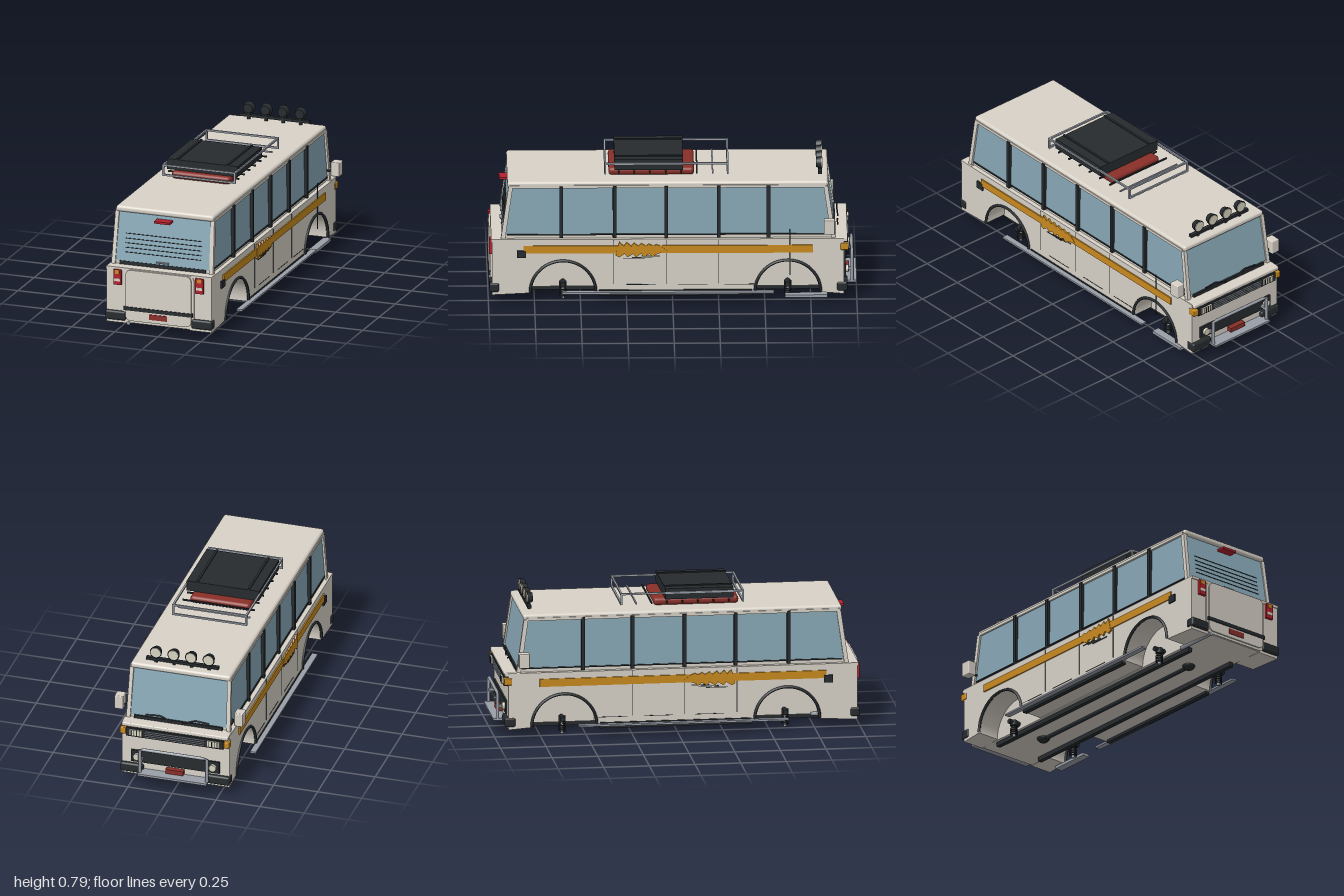
import * as THREE from 'three';
import { RoundedBoxGeometry } from 'three/addons/geometries/RoundedBoxGeometry.js';

const mat = (color) => new THREE.MeshStandardMaterial({ color, side: THREE.DoubleSide });

export function createModel() {
  const root = new THREE.Group();
  const cream = mat(0xd8d2c8), dark = mat(0x262b2e), glass = mat(0x88a8b6), grey = mat(0x9a9fa8),
    amber = mat(0xc98a1e), red = mat(0xb3202d), maroon = mat(0x8a2f28), white = mat(0xd8d4c0);

  const add = (name, geo, m, x = 0, y = 0, z = 0) => {
    const mesh = new THREE.Mesh(geo, m);
    mesh.name = name;
    mesh.position.set(x, y, z);
    root.add(mesh);
    return mesh;
  };
  // box given by its limits on each axis
  const box = (name, m, x0, x1, y0, y1, z0, z1) =>
    add(name, new THREE.BoxGeometry(Math.abs(x1 - x0), y1 - y0, z1 - z0), m, (x0 + x1) / 2, (y0 + y1) / 2, (z0 + z1) / 2);
  // rounded box given by its limits
  const rbox = (name, m, r, x0, x1, y0, y1, z0, z1) =>
    add(name, new RoundedBoxGeometry(x1 - x0, y1 - y0, z1 - z0, 3, r), m, (x0 + x1) / 2, (y0 + y1) / 2, (z0 + z1) / 2);
  // reshape the upper vertices of a geometry
  const reshapeTop = (geo, fn) => {
    const p = geo.attributes.position;
    for (let i = 0; i < p.count; i++) if (p.getY(i) > 0) fn(p, i);
    geo.computeVertexNormals();
    return geo;
  };
  const rod = (name, m, pts, r) => {
    const path = new THREE.CurvePath(), v = pts.map((p) => new THREE.Vector3(...p));
    for (let i = 1; i < v.length; i++) path.add(new THREE.LineCurve3(v[i - 1], v[i]));
    return add(name, new THREE.TubeGeometry(path, (v.length - 1) * 8, r, 8), m);
  };
  // extrude a (z, y) outline sideways, outer face at x = s * xo
  const sidePlate = (name, shape, m, s, xo, depth) => {
    const geo = new THREE.ExtrudeGeometry(shape, { depth, bevelEnabled: false, curveSegments: 28 });
    return add(name, geo.rotateY(-Math.PI / 2), m, s > 0 ? xo : depth - xo);
  };
  // rounded rectangle panel facing +z
  const panel = (name, m, w, h, r, depth, y, z) => {
    const a = w / 2, b = h / 2, s = new THREE.Shape();
    s.absarc(a - r, b - r, r, 0, Math.PI / 2);
    s.absarc(r - a, b - r, r, Math.PI / 2, Math.PI);
    s.absarc(r - a, r - b, r, Math.PI, Math.PI * 1.5);
    s.absarc(a - r, r - b, r, Math.PI * 1.5, Math.PI * 2);
    return add(name, new THREE.ExtrudeGeometry(s, { depth, bevelEnabled: false }), m, 0, y, z);
  };

  const wheelZ = [0.595, -0.625];

  // lower body: centre hull and side walls with wheel arches
  box('hull', cream, -0.175, 0.175, 0.055, 0.365, -0.93, 0.98);
  const wall = new THREE.Shape().moveTo(-0.93, 0.05);
  for (const c of [wheelZ[1], wheelZ[0]]) {
    wall.lineTo(c - 0.18, 0.06);
    wall.absarc(c, 0.06, 0.18, Math.PI, 0, true);
  }
  wall.lineTo(0.98, 0.05).lineTo(0.98, 0.365).lineTo(-0.93, 0.365);
  rbox('hood', cream, 0.006, -0.302, 0.302, 0.345, 0.368, -0.95, -0.86);
  box('rearDeck', cream, -0.305, 0.305, 0.35, 0.366, 0.9, 0.985);
  box('waistBand', cream, -0.28, 0.28, 0.36, 0.39, -0.87, 0.92);
  box('rearWaistTrim', dark, -0.25, 0.25, 0.366, 0.386, 0.9, 0.927);
  box('frontWaistTrim', dark, -0.25, 0.25, 0.367, 0.386, -0.885, -0.86);

  // glass cabin, narrowing towards the roof
  add('windows', reshapeTop(new THREE.BoxGeometry(0.566, 0.275, 1.8), (p, i) => {
    p.setZ(i, Math.sign(p.getZ(i)) * 0.858);
    p.setX(i, p.getX(i) * 0.98);
  }), glass, 0, 0.522, 0.025);
  rbox('roof', cream, 0.014, -0.284, 0.284, 0.652, 0.686, -0.845, 0.897);
  for (const s of [1, -1]) box('gutter', cream, s * 0.275, s * 0.289, 0.652, 0.668, -0.83, 0.885);
  const rearZ = (y) => 0.927 - 0.042 * (y - 0.385) / 0.275;

  for (const s of [1, -1]) {
    sidePlate('sideWall', wall, cream, s, 0.305, 0.13);
    // corner pillars leaning with the glass
    for (const [z, dz] of [[0.921, -0.042], [-0.873, 0.042]])
      add('cornerPillar', reshapeTop(new THREE.BoxGeometry(0.022, 0.295, 0.024), (p, i) => {
        p.setZ(i, p.getZ(i) + dz);
        p.setX(i, p.getX(i) - s * 0.008);
      }), cream, s * 0.284, 0.512, z);
    for (const z of [0.605, 0.315, 0.035, -0.25, -0.52])
      box('windowPost', dark, s * 0.279, s * 0.297, 0.37, 0.664, z - 0.01, z + 0.01);
    box('sill', dark, s * 0.279, s * 0.288, 0.383, 0.39, -0.85, 0.9);
    // door seams
    for (const z of [0.32, 0.035, -0.25])
      box('doorSeam', dark, s * 0.3, s * 0.3065, 0.11, 0.36, z - 0.0015, z + 0.0015);
    for (const z of [0.18, -0.1, -0.35])
      box('lowerSeam', dark, s * 0.3, s * 0.3065, 0.105, 0.108, z - 0.09, z + 0.07);
    // coloured stripe with jagged flash
    box('stripe', amber, s * 0.3, s * 0.312, 0.287, 0.33, -0.76, 0.81);
    const flash = new THREE.Shape().moveTo(0.31, 0.275);
    for (let i = 0; i < 6; i++) {
      const z = 0.29 - i * 0.04;
      flash.lineTo(z, 0.352 - i * 0.003).lineTo(z - 0.025, 0.328);
    }
    flash.lineTo(0.03, 0.3);
    for (let i = 0; i < 5; i++) flash.lineTo(0.08 + i * 0.045, 0.285).lineTo(0.11 + i * 0.045, 0.268 - i * 0.001);
    sidePlate('stripeFlash', flash, amber, s, 0.3145, 0.01);
    for (let i = 0; i < 3; i++)
      box('stripeShadow', dark, s * 0.3, s * 0.308, 0.252 + i * 0.008, 0.256 + i * 0.008, 0.15 - i * 0.04, 0.27 - i * 0.05);
    box('fuelFlap', dark, s * 0.3, s * 0.314, 0.262, 0.303, 0.795, 0.845);
    // arch trims, springs and hubs
    for (const z of wheelZ) {
      const arch = add('archTrim', new THREE.TorusGeometry(0.178, 0.008, 6, 32, Math.PI), dark, s * 0.307, 0.065, z);
      arch.rotation.y = Math.PI / 2;
      const coil = [];
      for (let i = 0; i <= 60; i++) {
        const a = i / 60 * Math.PI * 9;
        coil.push(new THREE.Vector3(s * 0.21 + Math.cos(a) * 0.018, 0.01 + i * 0.0008, z + Math.sin(a) * 0.018));
      }
      add('spring', new THREE.TubeGeometry(new THREE.CatmullRomCurve3(coil), 120, 0.0035, 5), dark);
      add('damper', new THREE.CylinderGeometry(0.009, 0.009, 0.08, 10), grey, s * 0.21, 0.04, z);
      add('springMount', new THREE.CylinderGeometry(0.02, 0.02, 0.03, 14), dark, s * 0.21, 0.08, z);
      add('axle', new THREE.CylinderGeometry(0.014, 0.014, 0.09, 12), dark, s * 0.2, 0.085, z).rotation.z = Math.PI / 2;
    }
    // side steps and chassis rails
    box('sideStep', grey, s * 0.305, s * 0.338, 0.062, 0.072, -0.55, 0.6);
    box('stepBeam', dark, s * 0.285, s * 0.31, 0.045, 0.078, -0.43, 0.4);
    box('chassisRail', dark, s * 0.135, s * 0.159, 0.03, 0.056, -0.83, 0.78);
    // mirrors
    rbox('mirror', cream, 0.005, s * 0.34 - 0.025, s * 0.34 + 0.025, 0.405, 0.485, -0.88, -0.82);
    box('mirrorArm', dark, s * 0.28, s * 0.32, 0.42, 0.43, -0.855, -0.845);
    // bumper corners
    rbox('rearBumperCorner', dark, 0.012, s * 0.25 - 0.06, s * 0.25 + 0.06, 0.065, 0.118, 0.94, 0.995);
    rbox('frontBumperCorner', dark, 0.012, s * 0.245 - 0.065, s * 0.245 + 0.065, 0.065, 0.118, -0.95, -0.89);
    // tail lights
    box('tailLight', red, s * 0.215, s * 0.26, 0.268, 0.354, 0.97, 0.995);
    box('tailIndicator', amber, s * 0.225, s * 0.248, 0.33, 0.352, 0.97, 0.997);
    box('reverseLight', white, s * 0.22, s * 0.255, 0.288, 0.304, 0.97, 0.997);
    // headlights, indicators and fog lamps
    box('headlight', white, s * 0.185, s * 0.255, 0.298, 0.334, -0.96, -0.93);
    for (let i = 0; i < 4; i++)
      box('headlightBar', dark, s * (0.195 + i * 0.016), s * (0.198 + i * 0.016), 0.298, 0.334, -0.963, -0.95);
    rbox('frontIndicator', amber, 0.005, s * 0.294 - 0.016, s * 0.294 + 0.016, 0.3, 0.338, -0.955, -0.91);
    add('fogLamp', new THREE.CylinderGeometry(0.02, 0.02, 0.02, 20), white, s * 0.215, 0.165, -0.945).rotation.x = Math.PI / 2;
    rod('wiper', dark, [[s * 0.03, 0.385, -0.9], [s * 0.1, 0.41, -0.895], [s * 0.18, 0.405, -0.897]], 0.004);
  }

  // tailgate
  panel('tailgate', cream, 0.41, 0.305, 0.035, 0.012, 0.21, 0.975);
  panel('tailgatePanel', cream, 0.38, 0.288, 0.03, 0.01, 0.215, 0.985);
  box('tailgateStrip', dark, -0.2, 0.2, 0.13, 0.15, 0.97, 1.0);
  box('rearPlate', maroon, -0.052, 0.052, 0.09, 0.12, 0.98, 0.999);
  box('rearHandle', grey, -0.035, 0.035, 0.394, 0.4, 0.92, 0.935);
  box('brakeLight', red, -0.045, 0.045, 0.622, 0.634, 0.885, 0.94);
  for (const y of [0.435, 0.46, 0.485, 0.51, 0.537])
    box('heaterLine', dark, -0.22, 0.22, y - 0.0015, y + 0.0015, rearZ(y) - 0.01, rearZ(y) + 0.002);

  // nose: grille, lower intake, plate and guard bar
  box('grille', dark, -0.275, 0.275, 0.29, 0.342, -0.952, -0.92);
  for (let i = 0; i < 4; i++) box('grilleSlat', grey, -0.17, 0.17, 0.297 + i * 0.011, 0.3 + i * 0.011, -0.957, -0.94);
  box('lowerIntake', dark, -0.25, 0.25, 0.13, 0.2, -0.94, -0.92);
  box('frontPlate', maroon, -0.05, 0.05, 0.095, 0.12, -0.96, -0.92);
  rod('guardBar', grey, [[-0.19, 0.09, -0.975], [-0.19, 0.23, -0.975], [0.19, 0.23, -0.975], [0.19, 0.09, -0.975]], 0.009);
  box('guardPlate', grey, -0.195, 0.195, 0.078, 0.09, -1.0, -0.92);
  for (const s of [1, -1]) box('guardBracket', grey, s * 0.18, s * 0.196, 0.15, 0.165, -0.975, -0.92);

  // roof rack with luggage
  rbox('rolledMat', maroon, 0.018, -0.17, 0.17, 0.686, 0.728, -0.118, 0.347);
  box('cargoBox', dark, -0.205, 0.205, 0.728, 0.787, -0.058, 0.315);
  for (const s of [1, -1]) {
    box('cargoRib', dark, s * 0.14, s * 0.152, 0.785, 0.793, -0.058, 0.315);
    box('rackRail', grey, s * 0.202, s * 0.212, 0.76, 0.77, -0.305, 0.37);
  }
  for (const z of [0.365, -0.3]) {
    for (const y of [0.71, 0.765]) box('rackEndBar', grey, -0.212, 0.212, y - 0.005, y + 0.005, z - 0.005, z + 0.005);
    for (const s of [1, -1]) box('rackUpright', grey, s * 0.202, s * 0.212, 0.705, 0.77, z - 0.005, z + 0.005);
  }
  for (let i = 0; i < 7; i++) box('rackSlat', i ? dark : grey, -0.205, 0.205, 0.706, 0.714, -0.222 + i * 0.085, -0.214 + i * 0.085);

  // roof lamps
  box('lampBar', dark, -0.205, 0.205, 0.7, 0.715, -0.812, -0.79);
  for (const x of [-0.15, -0.05, 0.05, 0.15]) {
    add('roofLamp', new THREE.CylinderGeometry(0.034, 0.026, 0.03, 24), dark, x, 0.75, -0.795).rotation.x = -Math.PI / 2;
    add('roofLampLens', new THREE.CylinderGeometry(0.028, 0.028, 0.006, 24), white, x, 0.75, -0.811).rotation.x = Math.PI / 2;
    box('lampFoot', dark, x - 0.008, x + 0.008, 0.68, 0.72, -0.804, -0.794);
  }

  // underside: drive shaft, differentials and exhaust
  add('driveShaft', new THREE.CylinderGeometry(0.011, 0.011, 1.22, 12), dark, 0, 0.048, -0.015).rotation.x = Math.PI / 2;
  for (const z of wheelZ) add('differential', new THREE.SphereGeometry(0.035, 20, 12), dark, 0, 0.056, z).scale.y = 0.8;
  add('exhaust', new THREE.CylinderGeometry(0.011, 0.011, 0.25, 14), grey, -0.175, 0.055, 0.865).rotation.x = Math.PI / 2;

  // entry step and aerial on the left side only
  box('entryStep', grey, 0.268, 0.312, 0.03, 0.046, -0.84, -0.61);
  rod('aerial', dark, [[0.309, 0.16, -0.637], [0.309, 0.42, -0.637]], 0.003);
  return root;
}
